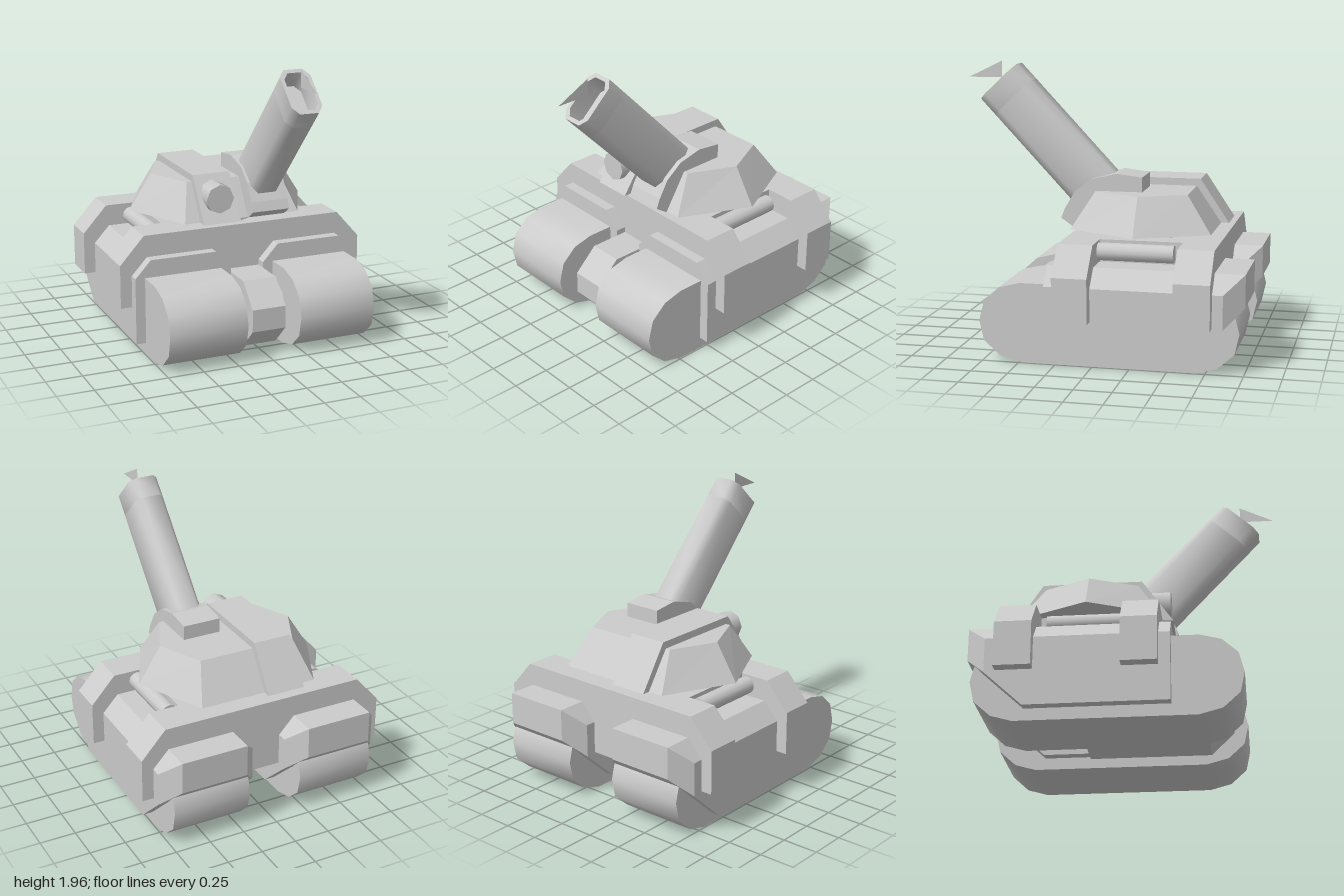
import * as THREE from 'three';
import { toCreasedNormals } from 'three/addons/utils/BufferGeometryUtils.js';

const grey = new THREE.MeshStandardMaterial({ color: 0xcccccc });
const greyDouble = new THREE.MeshStandardMaterial({ color: 0xcccccc, side: THREE.DoubleSide });

function add(parent, name, geometry, material = grey) {
  const mesh = new THREE.Mesh(geometry, material);
  mesh.name = name;
  parent.add(mesh);
  return mesh;
}

const toShape = (pts) => new THREE.Shape(pts.map(([a, b]) => new THREE.Vector2(a, b)));

// Outline in (x, y) pushed along z
function prismZ(pts, z0, z1) {
  return new THREE.ExtrudeGeometry(toShape(pts), { depth: z1 - z0, bevelEnabled: false }).translate(0, 0, z0);
}

// Outline in (z, y) pushed along x
function prismX(pts, x0, x1) {
  return new THREE.ExtrudeGeometry(toShape(pts), { depth: x1 - x0, bevelEnabled: false })
    .rotateY(-Math.PI / 2).translate(x1, 0, 0);
}

// Flat-faced skin over equal-sized rings of [x, y, z], with closed ends
function loft(rings) {
  const out = [];
  const n = rings[0].length;
  const tri = (a, b, c) => out.push(...a, ...b, ...c);
  for (let r = 0; r < rings.length - 1; r++) {
    for (let i = 0; i < n; i++) {
      const j = (i + 1) % n;
      const [a, b, c, d] = [rings[r][i], rings[r][j], rings[r + 1][j], rings[r + 1][i]];
      tri(a, b, c);
      tri(a, c, d);
    }
  }
  const last = rings[rings.length - 1];
  for (let i = 1; i < n - 1; i++) {
    tri(rings[0][0], rings[0][i + 1], rings[0][i]);
    tri(last[0], last[i], last[i + 1]);
  }
  const g = new THREE.BufferGeometry();
  g.setAttribute('position', new THREE.Float32BufferAttribute(out, 3));
  g.computeVertexNormals();
  return g;
}

// Elongated octagon with cut corners
function octagon(w, h, cx, cy) {
  return [[-w + cx, -h], [w - cx, -h], [w, -h + cy], [w, h - cy],
    [w - cx, h], [-w + cx, h], [-w, h - cy], [-w, -h + cy]];
}

export function createModel() {
  const model = new THREE.Group();
  model.name = 'toyTank';

  // Treads, fenders and side cylinders, one set per side
  const treadProfile = [
    [0.48, 0], [0.63, 0.04], [0.74, 0.14], [0.77, 0.275], [0.735, 0.41], [0.63, 0.505], [0.49, 0.54],
    [-0.69, 0.54], [-0.83, 0.505], [-0.935, 0.41], [-0.97, 0.275], [-0.94, 0.14], [-0.83, 0.04], [-0.69, 0]];
  const fenderRing = (bottom, z) => [
    [-0.345, bottom, z], [0.345, bottom, z], [0.345, 0.54, z],
    [0.235, 0.66, z], [-0.235, 0.66, z], [-0.345, 0.54, z]];
  const fenderTail = [
    [-0.235, 0.44, -1], [0.235, 0.44, -1], [0.235, 0.66, -1],
    [0.235, 0.66, -1], [-0.235, 0.66, -1], [-0.235, 0.66, -1]];
  for (const [side, s] of [['left', 1], ['right', -1]]) {
    const tread = add(model, side + 'Tread', toCreasedNormals(prismX(treadProfile, -0.275, 0.275), 0.8));
    tread.position.x = s * 0.467;
    const fender = add(model, side + 'Fender',
      loft([fenderTail, fenderRing(0.31, -0.87), fenderRing(0.08, -0.62), fenderRing(0.08, 0.31)]));
    fender.position.x = s * 0.465;
    const tank = add(model, side + 'SideCylinder',
      new THREE.CylinderGeometry(0.06, 0.06, 0.51, 12).rotateX(Math.PI / 2));
    tank.position.set(s * 0.55, 0.737, -0.255);
  }

  // Hull with front and rear arches that straddle the fenders
  const archProfile = [[-0.89, 0.32], [0.89, 0.32], [0.89, 0.62], [0.72, 0.81], [-0.72, 0.81], [-0.89, 0.62]];
  add(model, 'frontArch', prismZ(archProfile, 0, 0.235));
  add(model, 'rearArch', prismZ(archProfile, -0.8, -0.56));
  add(model, 'hullCore', new THREE.BoxGeometry(1.02, 0.49, 0.56)).position.set(0, 0.565, -0.28);

  // Nose block and front axle
  add(model, 'noseBlock', prismX(
    [[0.52, 0.04], [0.675, 0.19], [0.675, 0.345], [0.515, 0.5], [-0.3, 0.5], [-0.3, 0.04]], -0.12, 0.12));
  add(model, 'frontAxle', new THREE.CylinderGeometry(0.118, 0.118, 0.5, 14).rotateZ(Math.PI / 2))
    .position.set(0, 0.272, 0.395);

  // Turret
  add(model, 'turretRing', new THREE.CylinderGeometry(0.415, 0.415, 0.06, 6)).position.set(0, 0.83, -0.245);
  const hexRing = (wide, narrow, front, back, y) => [
    [wide, y, -0.25], [narrow, y, back], [-narrow, y, back],
    [-wide, y, -0.25], [-narrow, y, front], [narrow, y, front]];
  add(model, 'turret', loft([
    hexRing(0.65, 0.42, 0.225, -0.73, 0.85),
    hexRing(0.49, 0.345, 0.07, -0.56, 1.1)]));
  add(model, 'turretSpine', prismX([[0.3, 0.85], [0.09, 1.15], [-0.585, 1.15], [-0.785, 0.85]], -0.31, -0.04));
  add(model, 'spineGun', new THREE.CylinderGeometry(0.1, 0.1, 0.23, 8).rotateX(Math.PI / 2))
    .position.set(-0.185, 1.015, 0.165);
  add(model, 'mantlet', prismX([
    [0.235, 0.85], [0.315, 0.905], [0.29, 0.97], [0.22, 1.09], [0.1, 1.18],
    [-0.07, 1.22], [-0.245, 1.2], [-0.245, 0.85]], 0.04, 0.31));

  // Raised barrel with a shallow bore, built along z and tilted up
  const barrel = new THREE.Group();
  barrel.name = 'barrel';
  const outer = octagon(0.108, 0.175, 0.042, 0.055);
  const depth = 0.15;
  add(barrel, 'barrelBody', toCreasedNormals(prismZ(outer, -1.05, -depth), 1));
  const rim = toShape(outer);
  rim.holes.push(new THREE.Path(octagon(0.084, 0.147, 0.036, 0.048).map(([a, b]) => new THREE.Vector2(a, b))));
  add(barrel, 'muzzle', toCreasedNormals(
    new THREE.ExtrudeGeometry(rim, { depth, bevelEnabled: false }).translate(0, 0, -depth), 1));
  barrel.position.set(0.167, 1.8175, 0.77);
  barrel.rotation.x = -0.817;
  model.add(barrel);

  // Thin triangular fin floating at the muzzle
  const fin = new THREE.ShapeGeometry(toShape([[1, 1.84], [0.765, 1.955], [0.765, 1.84]])).rotateY(-Math.PI / 2);
  add(model, 'muzzleFin', fin, greyDouble).position.x = 0.167;

  return model;
}
